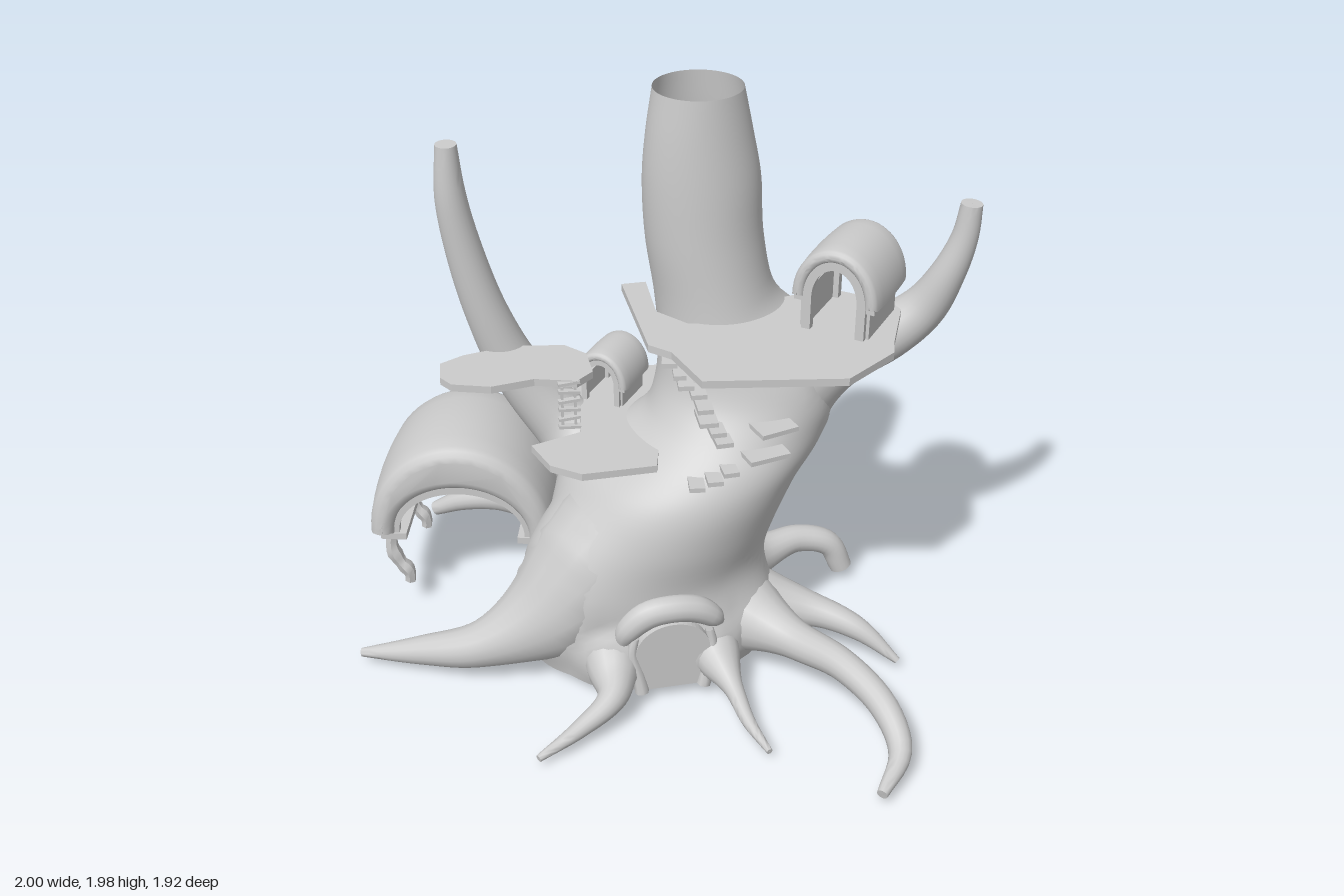
import * as THREE from 'three';
import { mergeVertices, toCreasedNormals } from 'three/addons/utils/BufferGeometryUtils.js';

const mat = new THREE.MeshStandardMaterial({ color: 0xcccccc, side: THREE.DoubleSide });
const REACH = 0.2; // distance over which trunk and limbs swell into each other

// Trunk sections: y, then the extents left, right, back, front
const SECTIONS = [
  [0.05, -0.4, 0.36, -0.31, 0.29], [0.15, -0.4, 0.37, -0.31, 0.29], [0.28, -0.39, 0.37, -0.32, 0.28],
  [0.4, -0.38, 0.38, -0.32, 0.28], [0.55, -0.33, 0.42, -0.32, 0.3], [0.7, -0.23, 0.48, -0.32, 0.3],
  [0.8, -0.12, 0.53, -0.32, 0.27], [0.9, -0.01, 0.55, -0.32, 0.21], [1.0, 0.03, 0.56, -0.32, 0.15],
  [1.15, 0.04, 0.51, -0.31, 0.11], [1.3, 0.03, 0.42, -0.31, 0.08], [1.5, 0, 0.375, -0.29, 0.06],
  [1.7, -0.01, 0.36, -0.27, 0.05], [1.85, 0, 0.33, -0.25, 0.04], [1.99, 0.02, 0.3, -0.24, 0.03],
];

const swell = (d) => Math.max(0, REACH - Math.abs(d)) ** 2 / (4 * REACH);

function add(parent, name, geo, pos = [0, 0, 0]) {
  const m = new THREE.Mesh(geo, mat);
  m.name = name;
  m.position.set(...pos);
  parent.add(m);
  return m;
}

// Approximate distance from a point to the trunk surface
function trunkDistance(v) {
  const i = Math.max(1, SECTIONS.findIndex((s) => s[0] >= v.y));
  const a = SECTIONS[i - 1], b = SECTIONS[i];
  const t = THREE.MathUtils.clamp((v.y - a[0]) / (b[0] - a[0]), 0, 1);
  const [, l, r, back, front] = a.map((n, k) => n + (b[k] - n) * t);
  const rx = (r - l) / 2, rz = (front - back) / 2;
  return (Math.hypot((v.x - (l + r) / 2) / rx, (v.z - (back + front) / 2) / rz) - 1) * Math.min(rx, rz);
}

// Centre line and radius curve of a limb given as [x, y, z, radius] points
function limbCurves(points) {
  return {
    path: new THREE.CatmullRomCurve3(points.map((p) => new THREE.Vector3(p[0], p[1], p[2]))),
    radii: new THREE.CatmullRomCurve3(points.map((p) => new THREE.Vector3(p[3], 0, 0))),
  };
}

// Tapered tube with a flat tip; a grown limb swells where it meets the trunk
function limb(points, segs = 24, sides = 12, grown = false) {
  const { path, radii } = limbCurves(points);
  const geo = new THREE.TubeGeometry(path, segs, 1, sides);
  const pos = geo.attributes.position, v = new THREE.Vector3(), dir = new THREE.Vector3();
  for (let i = 0; i <= segs; i++) {
    const u = Math.min(1, i / (segs - 1)), c = path.getPointAt(i / segs), target = path.getPointAt(u);
    const r = i === segs ? 0.001 : radii.getPoint(path.getUtoTmapping(u)).x;
    for (let j = 0; j <= sides; j++) {
      const k = i * (sides + 1) + j;
      dir.fromBufferAttribute(pos, k).sub(c);
      v.copy(target).addScaledVector(dir, r);
      if (grown) v.addScaledVector(dir, Math.min(swell(trunkDistance(v)), r * 0.5));
      pos.setXYZ(k, v.x, grown ? Math.max(0.005, v.y) : v.y, v.z);
    }
  }
  geo.deleteAttribute('uv');
  geo.deleteAttribute('normal');
  return toCreasedNormals(mergeVertices(geo), 1);
}

// Hollow trunk lofted through the sections
function trunkGeometry(limbs, rows = 72, sides = 64) {
  const lo = new THREE.CatmullRomCurve3(SECTIONS.map((s) => new THREE.Vector3(s[1], s[0], s[3])));
  const hi = new THREE.CatmullRomCurve3(SECTIONS.map((s) => new THREE.Vector3(s[2], s[0], s[4])));
  const pos = [], idx = [];
  for (let i = 0; i <= rows; i++) {
    const a = lo.getPoint(i / rows), b = hi.getPoint(i / rows);
    for (let j = 0; j < sides; j++) {
      const t = (j / sides) * Math.PI * 2;
      pos.push((a.x + b.x) / 2 + ((b.x - a.x) / 2) * Math.cos(t), (a.y + b.y) / 2,
        (a.z + b.z) / 2 + ((b.z - a.z) / 2) * Math.sin(t));
      if (i < rows) {
        const p = i * sides + j, q = i * sides + ((j + 1) % sides);
        idx.push(p, p + sides, q, q, p + sides, q + sides);
      }
    }
  }
  const geo = new THREE.BufferGeometry();
  geo.setAttribute('position', new THREE.Float32BufferAttribute(pos, 3));
  geo.setIndex(idx);
  geo.computeVertexNormals();

  // Swell the bark where a limb leaves it, and raise the base at the back
  const balls = limbs.flatMap((points) => {
    const { path, radii } = limbCurves(points);
    return Array.from({ length: 31 }, (_, i) => ({ c: path.getPoint(i / 30), r: radii.getPoint(i / 30).x }))
      .filter((b) => trunkDistance(b.c) > -0.1);
  });
  const p = geo.attributes.position, v = new THREE.Vector3(), n = new THREE.Vector3();
  for (let i = 0; i < p.count; i++) {
    v.fromBufferAttribute(p, i);
    n.fromBufferAttribute(geo.attributes.normal, i);
    const d = Math.min(...balls.map((b) => v.distanceTo(b.c) - b.r));
    v.addScaledVector(n, swell(Math.max(0, d)));
    p.setXYZ(i, v.x, Math.max(0.05 + 0.3 * Math.max(0, -v.z - 0.05), v.y), v.z);
  }
  geo.computeVertexNormals();
  return geo;
}

// Flat board from an [x, z] outline
function platform(outline) {
  const shape = new THREE.Shape(outline.map(([x, z]) => new THREE.Vector2(x, -z)));
  return new THREE.ExtrudeGeometry(shape, { depth: 0.025, bevelEnabled: false }).rotateX(-Math.PI / 2);
}

// Arched band between two half-ellipses; drop adds legs, bulge swells the middle of its depth
function archBand(ox, oy, ix, iy, drop, depth, bevel = 0, bulge = 0) {
  const shape = new THREE.Shape();
  shape.moveTo(ox, -drop).lineTo(ox, 0).absellipse(0, 0, ox, oy, 0, Math.PI, false);
  shape.lineTo(-ox, -drop).lineTo(-ix, -drop).lineTo(-ix, 0).absellipse(0, 0, ix, iy, Math.PI, 0, true);
  shape.lineTo(ix, -drop);
  const geo = new THREE.ExtrudeGeometry(shape, {
    depth: depth - 2 * bevel, steps: 6, curveSegments: 16, bevelEnabled: bevel > 0, bevelSize: bevel,
    bevelThickness: bevel, bevelOffset: -bevel, bevelSegments: 3,
  });
  geo.translate(0, 0, -(depth / 2 - bevel));
  const p = geo.attributes.position;
  for (let i = 0; i < p.count; i++) {
    const k = 1 - bulge * (p.getZ(i) / (depth / 2)) ** 2;
    p.setXY(i, p.getX(i) * k, p.getY(i) * k);
  }
  return toCreasedNormals(geo, 0.7);
}

// Small arched hut open at both ends
function hut(name, scale, pos, yaw) {
  const g = new THREE.Group();
  g.name = name;
  add(g, 'roof', archBand(0.14, 0.17, 0.1, 0.13, 0.005, 0.275, 0.018, 0.04), [0, 0.11, 0]);
  for (const e of [-1, 1]) {
    add(g, 'doorFrame', archBand(0.1, 0.13, 0.072, 0.1, 0.11, 0.025), [0, 0.11, e * 0.115]);
    add(g, 'sideWall', new THREE.BoxGeometry(0.02, 0.12, 0.22), [e * 0.1, 0.06, 0]);
    add(g, 'eaveBeam', new THREE.BoxGeometry(0.03, 0.018, 0.25), [e * 0.113, 0.1, 0]);
  }
  g.scale.setScalar(scale);
  g.position.set(...pos);
  g.rotation.y = yaw;
  return g;
}

export function createModel() {
  const model = new THREE.Group();
  model.name = 'treeHouse';

  // Branches, roots and trunk
  const rightBranch = [[-0.1, 0.62, -0.18, 0.14], [-0.26, 0.78, -0.26, 0.105], [-0.4, 0.98, -0.29, 0.085],
    [-0.49, 1.2, -0.29, 0.07], [-0.55, 1.42, -0.29, 0.06], [-0.585, 1.62, -0.285, 0.05], [-0.59, 1.795, -0.28, 0.034]];
  const leftBranch = [[0.36, 0.88, -0.1, 0.15], [0.5, 1.02, -0.06, 0.15], [0.62, 1.095, -0.01, 0.12], [0.74, 1.145, 0.03, 0.095],
    [0.86, 1.25, 0.07, 0.075], [0.92, 1.4, 0.12, 0.055], [0.955, 1.53, 0.14, 0.042], [0.965, 1.64, 0.145, 0.034]];
  const roots = [
    [[-0.12, 0.48, 0.02, 0.2], [-0.38, 0.25, 0.07, 0.13], [-0.6, 0.14, 0.07, 0.08], [-0.8, 0.09, 0, 0.05], [-1, 0.05, -0.08, 0.015]],
    [[0.05, 0.48, -0.14, 0.16], [-0.08, 0.28, -0.4, 0.125], [-0.25, 0.18, -0.65, 0.085], [-0.42, 0.14, -0.8, 0.055],
      [-0.55, 0.1, -0.87, 0.042], [-0.66, 0.03, -0.935, 0.027]],
    [[-0.18, 0.19, 0.15, 0.08], [-0.2, 0.13, 0.3, 0.055], [-0.22, 0.11, 0.4, 0.045], [-0.34, 0.07, 0.48, 0.03], [-0.49, 0.04, 0.56, 0.012]],
    [[0.14, 0.16, 0.2, 0.07], [0.18, 0.1, 0.42, 0.032], [0.2, 0.06, 0.55, 0.022], [0.235, 0.04, 0.68, 0.01]],
    [[0.27, 0.19, 0.1, 0.1], [0.42, 0.18, 0.32, 0.065], [0.53, 0.195, 0.5, 0.052], [0.61, 0.155, 0.68, 0.047],
      [0.62, 0.09, 0.82, 0.038], [0.52, 0.05, 0.95, 0.018]],
    [[0.25, 0.18, 0.05, 0.1], [0.5, 0.17, 0.14, 0.06], [0.66, 0.13, 0.24, 0.04], [0.78, 0.04, 0.33, 0.012]],
    [[0.2, 0.2, -0.12, 0.1], [0.43, 0.17, -0.2, 0.06], [0.58, 0.185, -0.24, 0.05], [0.7, 0.15, -0.235, 0.045], [0.75, 0.05, -0.225, 0.04]],
  ];
  add(model, 'rightBranch', limb(rightBranch, 40, 24, true));
  add(model, 'leftBranch', limb(leftBranch, 40, 24, true));
  roots.forEach((r) => add(model, 'root', limb(r, 32, 16, true)));
  add(model, 'trunk', trunkGeometry([rightBranch, leftBranch, ...roots]));

  // Platforms
  add(model, 'upperPlatform', platform([[-0.05, -0.26], [0.03, -0.26], [0.02, -0.05], [0.1, 0.05], [0.2, 0.07], [0.34, 0.04],
    [0.42, -0.06], [0.6, -0.09], [0.77, 0.04], [0.78, 0.1], [0.69, 0.3], [0.67, 0.36], [0.49, 0.485], [0.06, 0.41], [0.01, 0.22], [-0.05, 0.16]]), [0, 1.245, 0]);
  add(model, 'middlePlatform', platform([[-0.4, 0], [-0.36, 0.13], [-0.27, 0.2], [-0.03, 0.2], [0.01, 0.05], [0, -0.2], [0.1, -0.33],
    [0.27, -0.37], [0.16, -0.43], [0, -0.44], [-0.2, -0.41], [-0.31, -0.45], [-0.26, -0.37], [-0.2, -0.25], [-0.23, -0.05]]), [0, 0.83, 0]);
  add(model, 'rightPlatform', platform([[-0.67, -0.09], [-0.66, -0.18], [-0.58, -0.22], [-0.42, -0.25], [-0.25, -0.22], [-0.19, -0.15],
    [-0.19, -0.03], [-0.25, 0.02], [-0.38, -0.02], [-0.52, 0.0], [-0.64, -0.04]]), [0, 1.063, 0]);

  // Ladder
  for (let i = 0; i < 6; i++) {
    add(model, 'ladderRung', new THREE.BoxGeometry(0.07, 0.01, 0.02), [-0.275, 0.92 + i * 0.032, 0.012]).rotation.z = (i % 2 - 0.5) * 0.15;
  }
  for (const x of [-0.297, -0.255]) add(model, 'ladderRail', new THREE.BoxGeometry(0.008, 0.15, 0.008), [x, 0.99, 0.008]);

  // Steps winding up the trunk: x, y, z of the front edge, width
  [[0.085, 0.81, 0.3, 0.05], [0.14, 0.825, 0.3, 0.05], [0.19, 0.845, 0.29, 0.05], [0.31, 0.878, 0.28, 0.14], [0.345, 0.953, 0.25, 0.13],
    [0.18, 0.925, 0.24, 0.055], [0.165, 0.953, 0.22, 0.05], [0.14, 0.98, 0.2, 0.06], [0.135, 1.015, 0.175, 0.05], [0.12, 1.057, 0.15, 0.05],
    [0.085, 1.082, 0.13, 0.05], [0.07, 1.11, 0.11, 0.04], [0.045, 1.14, 0.08, 0.05],
  ].forEach(([x, y, z, w]) => {
    add(model, 'step', new THREE.BoxGeometry(w, 0.016, 0.1), [x, y, z - 0.05]).rotation.y = (x - 0.17) * 1.5;
  });

  // Huts on the platforms
  model.add(hut('upperHut', 1.03, [0.6, 1.27, 0.11], -0.68), hut('smallHut', 0.7, [-0.08, 0.85, -0.29], -0.65));

  // Large arched shelter beside the right root
  const shelter = new THREE.Group();
  shelter.name = 'shelter';
  shelter.position.set(-0.565, 0, -0.49);
  shelter.rotation.y = -0.27;
  add(shelter, 'roof', archBand(0.33, 0.365, 0.245, 0.2, 0.01, 0.46, 0.04, 0.05), [0, 0.34, 0]);
  for (const e of [-1, 1]) {
    add(shelter, 'archFrame', archBand(0.25, 0.2, 0.22, 0.165, 0.03, 0.03), [0, 0.335, e * 0.18]);
    add(shelter, 'eaveBeam', new THREE.BoxGeometry(0.09, 0.025, 0.4), [e * 0.24, 0.318, 0]);
    for (const z of [-0.17, 0.17]) {
      add(shelter, 'leg', limb([[e * 0.25, 0.33, z, 0.02], [e * 0.255, 0.25, z, 0.022], [e * 0.23, 0.19, z, 0.022],
        [e * 0.2, 0.15, z, 0.022], [e * 0.2, 0.11, z, 0.02]], 12, 6));
    }
  }
  model.add(shelter);

  // Front door with hood
  const door = new THREE.Group();
  door.name = 'frontDoor';
  const panel = new THREE.Shape();
  panel.moveTo(-0.09, 0.055).lineTo(0.09, 0.055).lineTo(0.125, 0.2);
  panel.absellipse(0, 0.2, 0.125, 0.11, 0, Math.PI, false).lineTo(-0.09, 0.055);
  add(door, 'doorPanel', new THREE.ExtrudeGeometry(panel, { depth: 0.06, bevelEnabled: false }), [0, 0, 0.26]);
  add(door, 'hood', limb([[-0.165, 0.215, 0.27, 0.02], [-0.145, 0.28, 0.28, 0.042], [-0.08, 0.34, 0.285, 0.05], [0.01, 0.355, 0.29, 0.048],
    [0.09, 0.335, 0.285, 0.046], [0.15, 0.29, 0.28, 0.035], [0.17, 0.265, 0.27, 0.015]]));
  for (const e of [-1, 1]) {
    add(door, 'doorPost', limb([[e * 0.125, 0.26, 0.3, 0.015], [e * 0.135, 0.2, 0.305, 0.018], [e * 0.115, 0.11, 0.315, 0.02], [e * 0.105, 0.05, 0.32, 0.024]], 12, 8));
  }
  model.add(door);
  return model;
}
